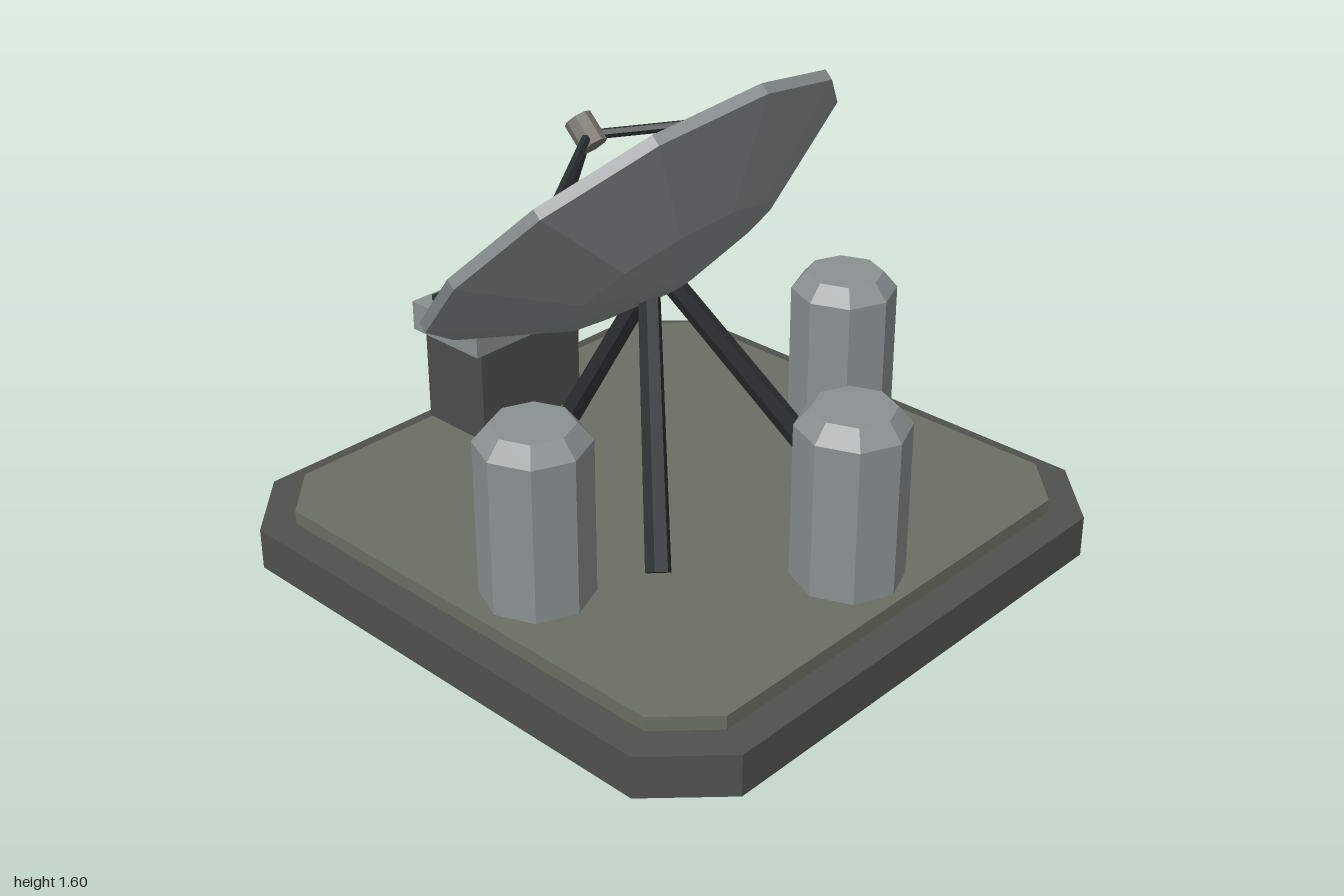
import * as THREE from 'three';

const mat = (color) => new THREE.MeshStandardMaterial({ color, flatShading: true });
const paint = {
  base: mat(0x50504c), deck: mat(0x6b6e62), metal: mat(0x8a9190), dark: mat(0x2b3030),
  console: mat(0x4c4d4c), feed: mat(0x77756c), screen: mat(0x24332f), green: mat(0x58a84c),
};

function add(parent, name, geometry, material, x = 0, y = 0, z = 0) {
  const mesh = new THREE.Mesh(geometry, material);
  mesh.name = name;
  mesh.position.set(x, y, z);
  parent.add(mesh);
  return mesh;
}

// Square slab with cut corners, lying on its own y = 0
function cutSlab(half, cut, height) {
  const a = half, b = half - cut;
  const pts = [[a, -b], [a, b], [b, a], [-b, a], [-a, b], [-a, -b], [-b, -a], [b, -a]];
  const shape = new THREE.Shape(pts.map(([x, y]) => new THREE.Vector2(x, y)));
  return new THREE.ExtrudeGeometry(shape, { depth: height, bevelEnabled: false }).rotateX(-Math.PI / 2);
}

function lathe(points, sides) {
  return new THREE.LatheGeometry(points.map(([r, y]) => new THREE.Vector2(r, y)), sides);
}

// Straight rod from a to b
function rod(parent, name, a, b, rA, rB, material) {
  const from = new THREE.Vector3(...a), to = new THREE.Vector3(...b);
  const dir = to.clone().sub(from);
  const mesh = add(parent, name, new THREE.CylinderGeometry(rB, rA, dir.length(), 6), material);
  mesh.position.copy(from).add(to).multiplyScalar(0.5);
  mesh.quaternion.setFromUnitVectors(new THREE.Vector3(0, 1, 0), dir.normalize());
}

export function createModel() {
  const model = new THREE.Group();
  model.name = 'dishStation';

  // Platform
  add(model, 'base', cutSlab(1, 0.205, 0.135), paint.base);
  add(model, 'deck', cutSlab(0.9, 0.155, 0.045), paint.deck, 0, 0.135);

  // Storage tanks with chamfered tops
  const tank = lathe([[0, 0], [0.171, 0], [0.171, 0.495], [0.125, 0.55], [0, 0.55]], 8);
  for (const [x, z] of [[-0.684, 0.112], [0.684, 0.112], [0, 0.7]]) {
    add(model, 'tank', tank, paint.metal, x, 0.18, z);
  }

  // Tripod, whose tips pass through the dish
  for (const s of [-1, 1]) {
    rod(model, 'frontLeg', [s * 0.392, 0.19, 0.312], [s * 0.05, 0.855, -0.05], 0.04, 0.035, paint.dark);
  }
  rod(model, 'backLeg', [0, 0.19, -0.505], [0, 0.855, -0.1], 0.04, 0.035, paint.dark);

  // Dish assembly, tilted back by 45 degrees
  const dish = new THREE.Group();
  dish.name = 'dishAssembly';
  dish.position.set(0, 1.063, -0.151);
  dish.rotation.x = -Math.PI / 4;
  model.add(dish);
  add(dish, 'dish', lathe([
    [0, -0.25], [0.06, -0.248], [0.36, -0.1875], [0.72, 0],
    [0.72, 0.035], [0.36, -0.1525], [0.06, -0.213], [0, -0.215],
  ], 12), paint.metal);
  add(dish, 'feedHorn', new THREE.CylinderGeometry(0.045, 0.045, 0.1, 8), paint.feed, 0, 0.295, 0);
  for (let i = 0; i < 3; i++) {
    const t = Math.PI + (i * Math.PI * 2) / 3;
    rod(dish, 'feedStrut', [Math.sin(t) * 0.64, 0.01, Math.cos(t) * 0.64], [0, 0.285, 0], 0.016, 0.016, paint.dark);
  }

  // Control console
  const desk = new THREE.Group();
  desk.name = 'console';
  desk.position.z = -0.783;
  model.add(desk);
  add(desk, 'consoleBody', new THREE.BoxGeometry(0.43, 0.32, 0.27), paint.console, 0, 0.34, 0.01);
  add(desk, 'consoleTop', new THREE.BoxGeometry(0.48, 0.1, 0.31), paint.metal, 0, 0.55, 0);
  add(desk, 'screen', new THREE.BoxGeometry(0.38, 0.02, 0.23), paint.screen, 0, 0.61, 0);
  for (const z of [-0.035, 0.053]) {
    add(desk, 'screenBar', new THREE.BoxGeometry(0.24, 0.01, 0.02), paint.green, -0.035, 0.625, z);
  }
  return model;
}
